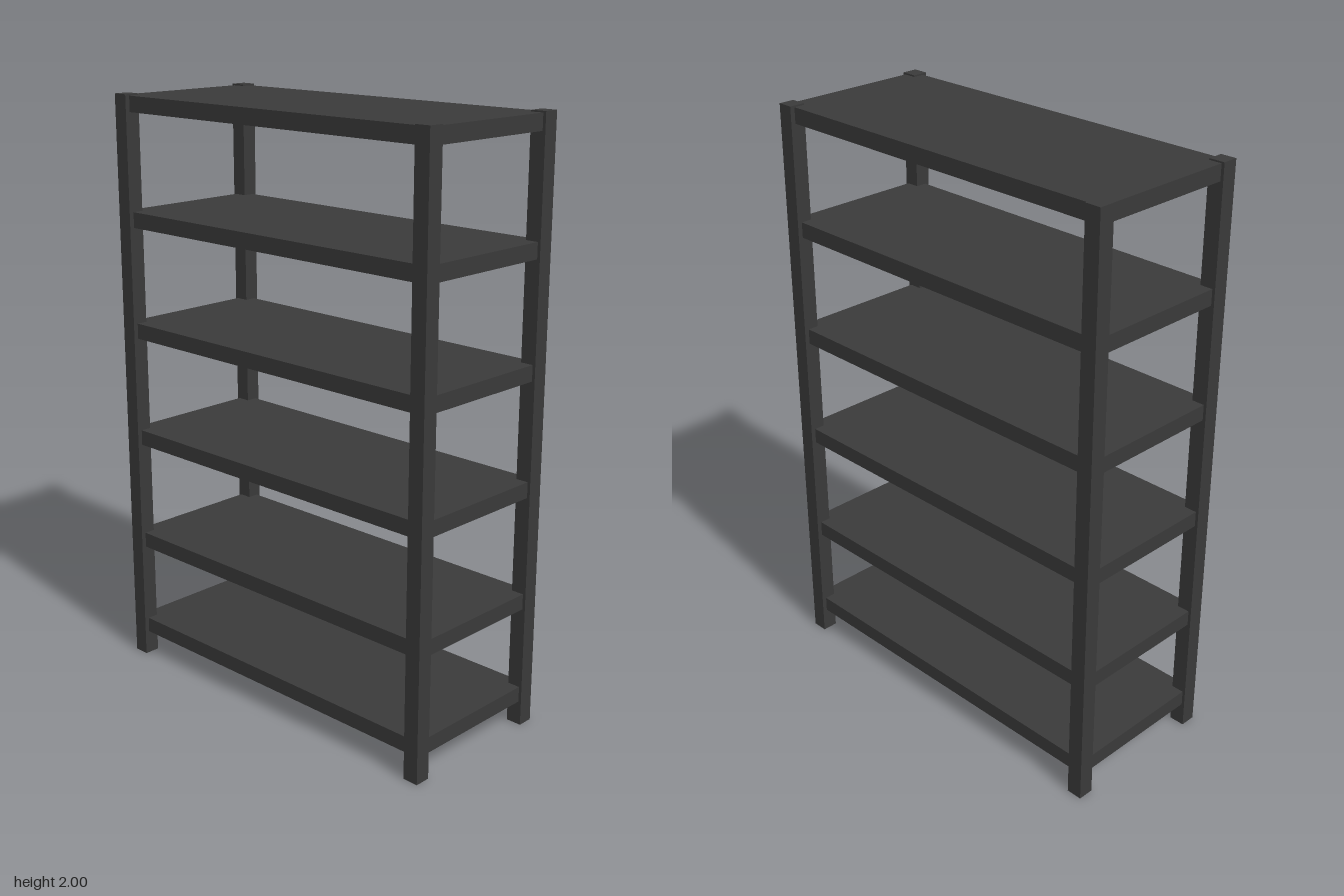
import * as THREE from 'three';

export function createModel() {
  const model = new THREE.Group();
  model.name = 'shelvingRack';

  const darkMetal = new THREE.MeshStandardMaterial({ color: 0x3a3a3a });
  darkMetal.name = 'dark grey metal';

  const addBox = (name, w, h, d, x, y, z) => {
    const mesh = new THREE.Mesh(new THREE.BoxGeometry(w, h, d), darkMetal);
    mesh.name = name;
    mesh.position.set(x, y, z);
    model.add(mesh);
  };

  // Four square corner posts
  const post = 0.054, halfWidth = 0.675, halfDepth = 0.288;
  for (const [side, sx] of [['Left', 1], ['Right', -1]]) {
    for (const [end, sz] of [['front', 1], ['back', -1]]) {
      addBox(`${end}${side}Post`, post, 2, post,
        sx * (halfWidth - post / 2), 1, sz * (halfDepth - post / 2));
    }
  }

  // Six solid shelves, set in slightly from the outer post faces
  const thickness = 0.053;
  [0.135, 0.466, 0.849, 1.231, 1.613, 1.995].forEach((top, i) => {
    addBox(`shelf${i + 1}`, 1.33, thickness, 0.544, 0, top - thickness / 2, 0);
  });

  return model;
}
